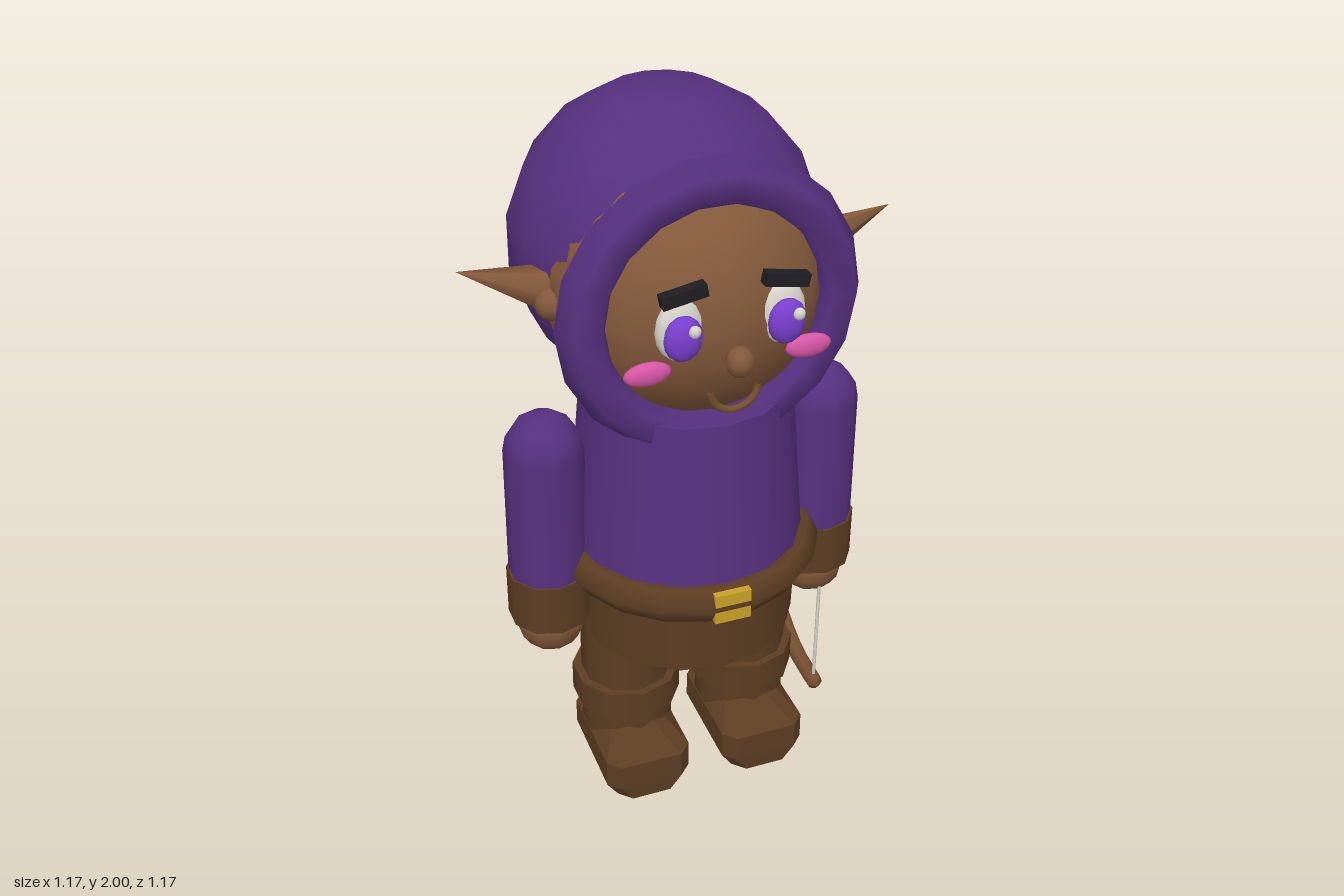
import * as THREE from 'three';
import { ConvexGeometry } from 'three/addons/geometries/ConvexGeometry.js';

const mat = (name, color, extra = {}) => {
  const m = new THREE.MeshStandardMaterial({ color, ...extra });
  m.name = name;
  return m;
};

export function createModel() {
  const root = new THREE.Group();
  root.name = 'hoodedArcher';

  const cloth = mat('purpleCloth', 0x56307f);
  const leather = mat('brownLeather', 0x5c3d22);
  const boot = mat('bootLeather', 0x5c3d22, { flatShading: true });
  const skin = mat('skin', 0x83593a);
  const wood = mat('wood', 0x77502f);
  const white = mat('eyeWhite', 0xd8d6cc);
  const violet = mat('violetIris', 0x7a3fd0);
  const black = mat('blackBrow', 0x1e1e20);
  const pink = mat('pinkCheek', 0xd957a8);
  const gold = mat('gold', 0xc9a227);

  const add = (name, geo, material, x, y, z, rot = [0, 0, 0]) => {
    const m = new THREE.Mesh(geo, material);
    m.name = name;
    m.position.set(x, y, z);
    m.rotation.set(...rot);
    root.add(m);
    return m;
  };
  const ball = (rx, ry, rz, w = 12, h = 8) =>
    new THREE.SphereGeometry(1, w, h).rotateY(Math.PI / 2).scale(rx, ry, rz);
  const tube = (top, bottom, y0, y1, n = 16) =>
    new THREE.CylinderGeometry(top, bottom, y1 - y0, n).translate(0, (y0 + y1) / 2, 0);
  // Cone with its base centre at one point and its tip at another
  const spike = (name, material, radius, base, tip, n) => {
    const a = new THREE.Vector3(...base);
    const d = new THREE.Vector3(...tip).sub(a);
    const geo = new THREE.ConeGeometry(radius, d.length(), n).translate(0, d.length() / 2, 0);
    add(name, geo, material, ...base).quaternion.setFromUnitVectors(
      new THREE.Vector3(0, 1, 0), d.clone().normalize());
  };

  // Head and hood
  add('head', ball(0.37, 0.37, 0.37, 18, 14), skin, 0, 1.54, 0.15);
  add('hood', ball(0.412, 0.415, 0.412, 14, 9), cloth, 0, 1.585, 0.02);
  add('hoodRim', new THREE.TorusGeometry(0.335, 0.068, 6, 18), cloth, 0, 1.53, 0.355);
  spike('hoodTail', cloth, 0.108, [0, 1.448, -0.306], [0, 1.55, -0.588], 6);

  // Face centre
  add('nose', ball(0.037, 0.04, 0.037, 8, 6), skin, 0, 1.48, 0.55);
  add('mouth', new THREE.TorusGeometry(0.063, 0.01, 6, 12, Math.PI), wood,
    0, 1.395, 0.52, [0, 0, Math.PI]);

  // Torso
  const cz = 0.193;
  add('tunic', tube(0.282, 0.325, 0.75, 1.255), cloth, 0, 0, cz);
  add('belt', new THREE.TorusGeometry(0.315, 0.057, 6, 18), leather, 0, 0.745, cz, [Math.PI / 2, 0, 0]);
  add('buckle', new THREE.BoxGeometry(0.1, 0.088, 0.03), gold, 0, 0.745, 0.54);
  add('hips', tube(0.312, 0.306, 0.5, 0.74), leather, 0, 0, cz);

  // Chamfered boot, from octagonal rings: [y, half width, half length, z shift]
  const bootPoints = [];
  for (const [y, hx, hz, s] of [[0, 0.092, 0.175, 0], [0.05, 0.125, 0.18, 0],
    [0.13, 0.125, 0.178, 0], [0.2, 0.058, 0.06, -0.01]]) {
    const c = 0.035;
    for (const sx of [-1, 1]) for (const sz of [-1, 1]) {
      bootPoints.push(new THREE.Vector3(sx * hx, y, s + sz * (hz - c)));
      bootPoints.push(new THREE.Vector3(sx * (hx - c), y, s + sz * hz));
    }
  }
  const bootGeo = new ConvexGeometry(bootPoints);

  for (const [side, s] of [['left', 1], ['right', -1]]) {
    // Ear with lobe
    spike(side + 'Ear', skin, 0.065, [s * 0.345, 1.545, 0.15], [s * 0.585, 1.63, 0.15], 6);
    add(side + 'EarLobe', ball(0.04, 0.042, 0.04, 8, 6), skin, s * 0.365, 1.53, 0.205);

    // Eye, brow and cheek
    add(side + 'Eye', ball(0.062, 0.083, 0.03), white, s * 0.132, 1.56, 0.487);
    add(side + 'Iris', ball(0.05, 0.06, 0.028), violet, s * 0.133, 1.55, 0.518);
    add(side + 'Glint', ball(0.016, 0.016, 0.013, 8, 6), white, s * 0.133 + 0.02, 1.577, 0.543);
    add(side + 'Brow', new THREE.BoxGeometry(0.115, 0.033, 0.03), black,
      s * 0.13, 1.66, 0.508, [0, 0, -s * 0.18]);
    add(side + 'Cheek', ball(0.062, 0.032, 0.018), pink, s * 0.21, 1.45, 0.482);

    // Arm
    const ax = s * 0.395;
    add(side + 'Shoulder', ball(0.107, 0.112, 0.107, 10, 8), cloth, ax, 1.1, 0.188);
    add(side + 'Sleeve', tube(0.107, 0.11, 0.68, 1.1, 10), cloth, ax, 0, 0.188);
    add(side + 'Cuff', tube(0.116, 0.116, 0.575, 0.725, 10), leather, ax, 0, 0.188);
    add(side + 'Hand', ball(0.1, 0.105, 0.1, 10, 8), skin, ax, 0.56, 0.188);

    // Leg
    const lx = s * 0.177;
    add(side + 'Leg', tube(0.13, 0.13, 0.12, 0.55, 10), leather, lx, 0, cz);
    add(side + 'BootCuff', tube(0.155, 0.155, 0.235, 0.325, 10), leather, lx, 0, 0.19);
    add(side + 'Boot', bootGeo, boot, lx, 0, 0.235);
  }

  // Bow in the left hand
  const arc = [[1.06, 0.015], [0.97, -0.1], [0.81, -0.19], [0.64, -0.228], [0.47, -0.192],
    [0.35, -0.118], [0.23, -0.005], [0.16, 0.12], [0.143, 0.265]];
  const path = new THREE.CatmullRomCurve3(arc.map(([y, z]) => new THREE.Vector3(0, y, z)));
  add('bow', new THREE.TubeGeometry(path, 24, 0.026, 6), wood, 0.395, 0, 0);
  for (const [y, z] of [arc[0], arc[8]])
    add('bowTip', ball(0.026, 0.026, 0.026, 6, 4), wood, 0.395, y, z);
  add('bowString', tube(0.005, 0.005, 0.13, 0.75, 6), white, 0.395, 0, 0.263);

  return root;
}
